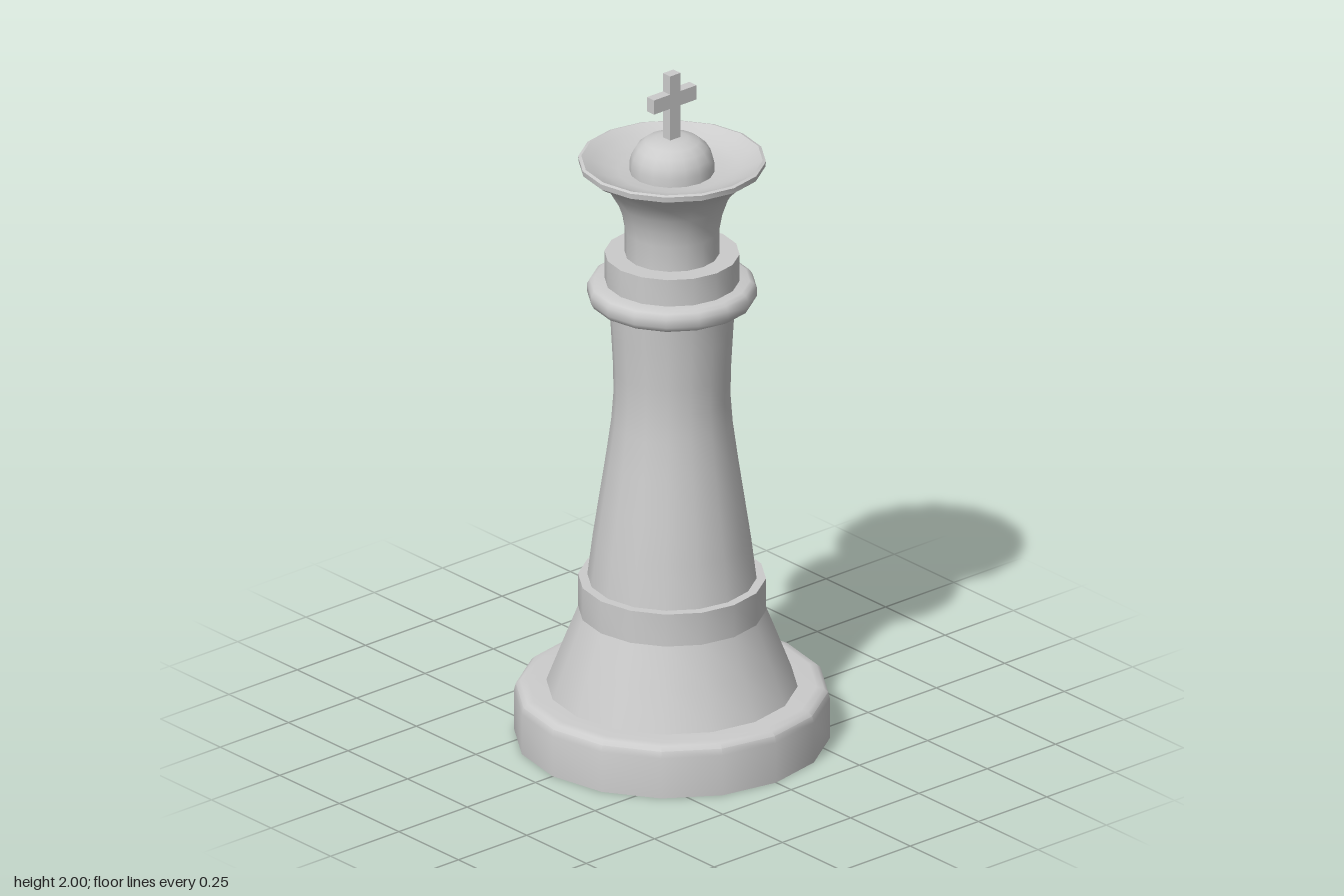
import * as THREE from 'three';
import { toCreasedNormals } from 'three/addons/utils/BufferGeometryUtils.js';

const SIDES = 16;
const material = new THREE.MeshStandardMaterial({ color: 0xcccccc });

export function createModel() {
  const piece = new THREE.Group();
  piece.name = 'chessKing';

  const add = (name, geometry) => {
    const mesh = new THREE.Mesh(geometry, material);
    mesh.name = name;
    piece.add(mesh);
    return mesh;
  };

  // Turned part: [radius, height] profile, listed from bottom to top
  const turned = (name, profile, crease = 0.65) => {
    const points = profile.map(([r, y]) => new THREE.Vector2(r, y));
    return add(name, toCreasedNormals(new THREE.LatheGeometry(points, SIDES), crease));
  };

  // Plinth with a softened top edge
  turned('base', [
    [0, 0], [0.437, 0], [0.437, 0.12], [0.432, 0.139], [0.42, 0.15], [0.4, 0.153], [0.3, 0.153],
  ]);

  // Sloping foot and the band above it
  turned('foot', [[0.348, 0.152], [0.305, 0.265], [0.26, 0.38]]);
  turned('footBand', [[0.26, 0.38], [0.26, 0.477], [0.2, 0.477]]);

  // Waisted column
  turned('column', [
    [0.235, 0.47], [0.219, 0.6], [0.201, 0.72], [0.183, 0.84], [0.168, 0.95],
    [0.162, 1.03], [0.163, 1.11], [0.169, 1.22], [0.175, 1.32],
  ]);

  // Rounded ring and straight collar
  turned('ring', [
    [0.15, 1.313], [0.215, 1.313], [0.227, 1.319], [0.235, 1.333],
    [0.235, 1.357], [0.227, 1.371], [0.215, 1.377], [0.15, 1.377],
  ], 0.9);
  turned('collar', [[0.187, 1.37], [0.187, 1.457], [0.1, 1.457]]);

  // Flared crown with a shallow dish in its top
  turned('crown', [
    [0.131, 1.45], [0.131, 1.53], [0.139, 1.575], [0.154, 1.618], [0.178, 1.66],
    [0.212, 1.695], [0.245, 1.714], [0.258, 1.724], [0.26, 1.74], [0.251, 1.743],
    [0.225, 1.73], [0.19, 1.715], [0.15, 1.706], [0, 1.704],
  ]);

  // Domed cap
  turned('dome', [
    [0.118, 1.7], [0.118, 1.73], [0.112, 1.754], [0.098, 1.778],
    [0.076, 1.796], [0.045, 1.805], [0, 1.807],
  ]);

  // Cross, cut as one flat outline
  const stem = 0.019, arm = 0.078, low = 1.902, high = 1.945;
  const half = [[stem, 1.79], [stem, low], [arm, low], [arm, high], [stem, high], [stem, 2]];
  const outline = [...half, ...half.map(([x, y]) => [-x, y]).reverse()];
  const shape = new THREE.Shape(outline.map(([x, y]) => new THREE.Vector2(x, y)));
  const cross = new THREE.ExtrudeGeometry(shape, { depth: 0.03, bevelEnabled: false });
  cross.translate(0, 0, -0.016);
  add('cross', cross);

  return piece;
}
